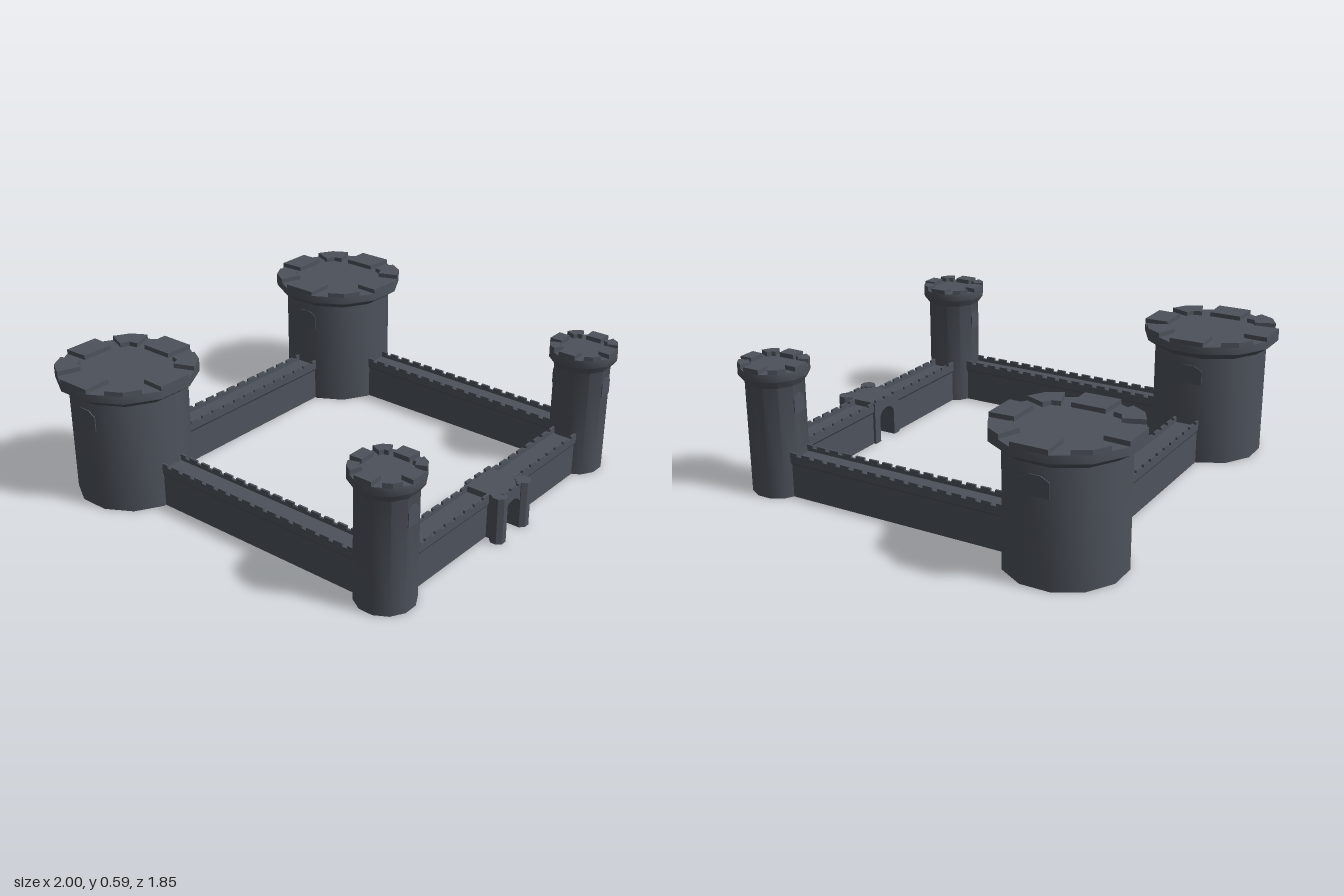
import * as THREE from 'three';
import { toCreasedNormals } from 'three/addons/utils/BufferGeometryUtils.js';

const stone = new THREE.MeshStandardMaterial({ color: 0x4d525b });
stone.name = 'dark stone';

const V = (x, y) => new THREE.Vector2(x, y);
const extrude = (shape, depth, curveSegments = 8) =>
  new THREE.ExtrudeGeometry(shape, { depth, bevelEnabled: false, curveSegments });

function add(parent, name, geometry, x = 0, y = 0, z = 0) {
  const mesh = new THREE.Mesh(geometry, stone);
  mesh.name = name;
  mesh.position.set(x, y, z);
  parent.add(mesh);
  return mesh;
}

// Point of a 12-sided ring at step k (15 degrees each); odd steps are corners
function ringPoint(k, corner) {
  return k % 2 ? corner(k) : corner(k - 1).add(corner(k + 1)).multiplyScalar(0.5);
}

// Twelve-sided tower with flared crown, eight merlons and two windows
function tower(name, bodyR, crownR, windowW, windowAngle) {
  const g = new THREE.Group();
  g.name = name;
  const c = 1 / Math.cos(Math.PI / 12);
  const profile = [
    V(0, 0), V(bodyR * c, 0), V(bodyR * c, 0.5),
    V(crownR * c, 0.535), V(crownR * c, 0.57), V(0, 0.57),
  ];
  const body = new THREE.LatheGeometry(profile, 12, Math.PI / 12);
  add(g, 'towerBody', toCreasedNormals(body, 0.7));

  const outer = (k) => {
    const a = k * Math.PI / 12;
    return V(Math.cos(a), Math.sin(a)).multiplyScalar(crownR * c);
  };
  // the inner rim is a softened square
  const inner = (k) => {
    const a = k * Math.PI / 12, cx = Math.cos(a), cy = Math.sin(a);
    const size = (v, w) => Math.sign(v) * crownR * (Math.abs(v) > 0.9 ? w : Math.abs(v) > 0.5 ? 0.51 : 0.25);
    return V(size(cx, 0.57), size(cy, 0.63));
  };
  for (let m = 0; m < 8; m++) {
    const ks = [3 * m - 1, 3 * m, 3 * m + 1];
    const pts = ks.map((k) => ringPoint(k, outer));
    pts.push(...ks.reverse().map((k) => ringPoint(k, inner)));
    add(g, 'towerMerlon', extrude(new THREE.Shape(pts), 0.021).rotateX(-Math.PI / 2), 0, 0.569, 0);
  }

  const w = windowW / 2;
  const pane = extrude(new THREE.Shape([
    V(-w, 0.375), V(w, 0.375), V(w, 0.44), V(w * 0.4, 0.46), V(-w * 0.4, 0.46), V(-w, 0.44),
  ]), 0.006).translate(0, 0, bodyR - 0.002);
  for (const turn of [0, Math.PI]) {
    add(g, 'towerWindow', pane).rotation.y = windowAngle + turn;
  }
  return g;
}

// Wall running along z, with a sunken walkway and a notched parapet on both sides
function wall(name, length) {
  const g = new THREE.Group();
  g.name = name;
  const section = new THREE.Shape([
    V(-0.053, 0), V(0.053, 0), V(0.053, 0.15), V(0.059, 0.16), V(0.059, 0.193), V(0.049, 0.193),
    V(0.049, 0.178), V(-0.049, 0.178), V(-0.049, 0.193), V(-0.059, 0.193), V(-0.059, 0.16), V(-0.053, 0.15),
  ]);
  add(g, 'wallBody', extrude(section, length).translate(0, 0, -length / 2));
  const count = Math.round(length / 0.07), step = length / count;
  const merlon = new THREE.BoxGeometry(0.01, 0.013, step * 0.65);
  for (let i = 0; i < count; i++) {
    for (const side of [-1, 1]) {
      add(g, 'wallMerlon', merlon, side * 0.054, 0.199, (i + 0.5) * step - length / 2);
    }
  }
  return g;
}

// Arched gatehouse with two octagonal pillars in front
function gatehouse() {
  const g = new THREE.Group();
  g.name = 'gatehouse';
  const arch = new THREE.Shape();
  arch.moveTo(-0.095, 0).lineTo(-0.055, 0).lineTo(-0.055, 0.115);
  arch.absellipse(0, 0.115, 0.055, 0.042, Math.PI, 0, true);
  arch.lineTo(0.055, 0).lineTo(0.095, 0).lineTo(0.095, 0.205).lineTo(-0.095, 0.205);
  add(g, 'gateArch', extrude(arch, 0.18), 0, 0, 0.71);
  const pillar = new THREE.CylinderGeometry(0.035, 0.035, 0.213, 8).rotateY(Math.PI / 8).toNonIndexed();
  pillar.computeVertexNormals();
  for (const side of [-1, 1]) add(g, 'gatePillar', pillar, side * 0.087, 0.1065, 0.88);
  for (let i = -1; i <= 1; i++) {
    add(g, 'gateMerlon', new THREE.BoxGeometry(0.036, 0.012, 0.012), i * 0.07, 0.21, 0.713);
    add(g, 'gateMerlon', new THREE.BoxGeometry(0.036, 0.012, 0.012), i * 0.055, 0.21, 0.884);
  }
  return g;
}

export function createModel() {
  const castle = new THREE.Group();
  castle.name = 'castle';
  const place = (part, x, z, turn = 0) => {
    part.position.set(x, 0, z);
    part.rotation.y = turn;
    castle.add(part);
  };
  const X = 0.704, BACK = -0.63, FRONT = 0.775;

  for (const side of [-1, 1]) {
    place(tower('backTower', 0.246, 0.296, 0.125, Math.PI / 2), side * X, BACK);
    place(tower('frontTower', 0.122, 0.147, 0.064, 0), side * X, FRONT);
    place(wall('sideWall', 1.1), side * X, 0.14);
    // the front wall is split by the gate
    place(wall('frontWall', 0.53), side * 0.345, FRONT, Math.PI / 2);
  }
  place(wall('backWall', 0.98), 0, BACK, Math.PI / 2);
  castle.add(gatehouse());
  return castle;
}
